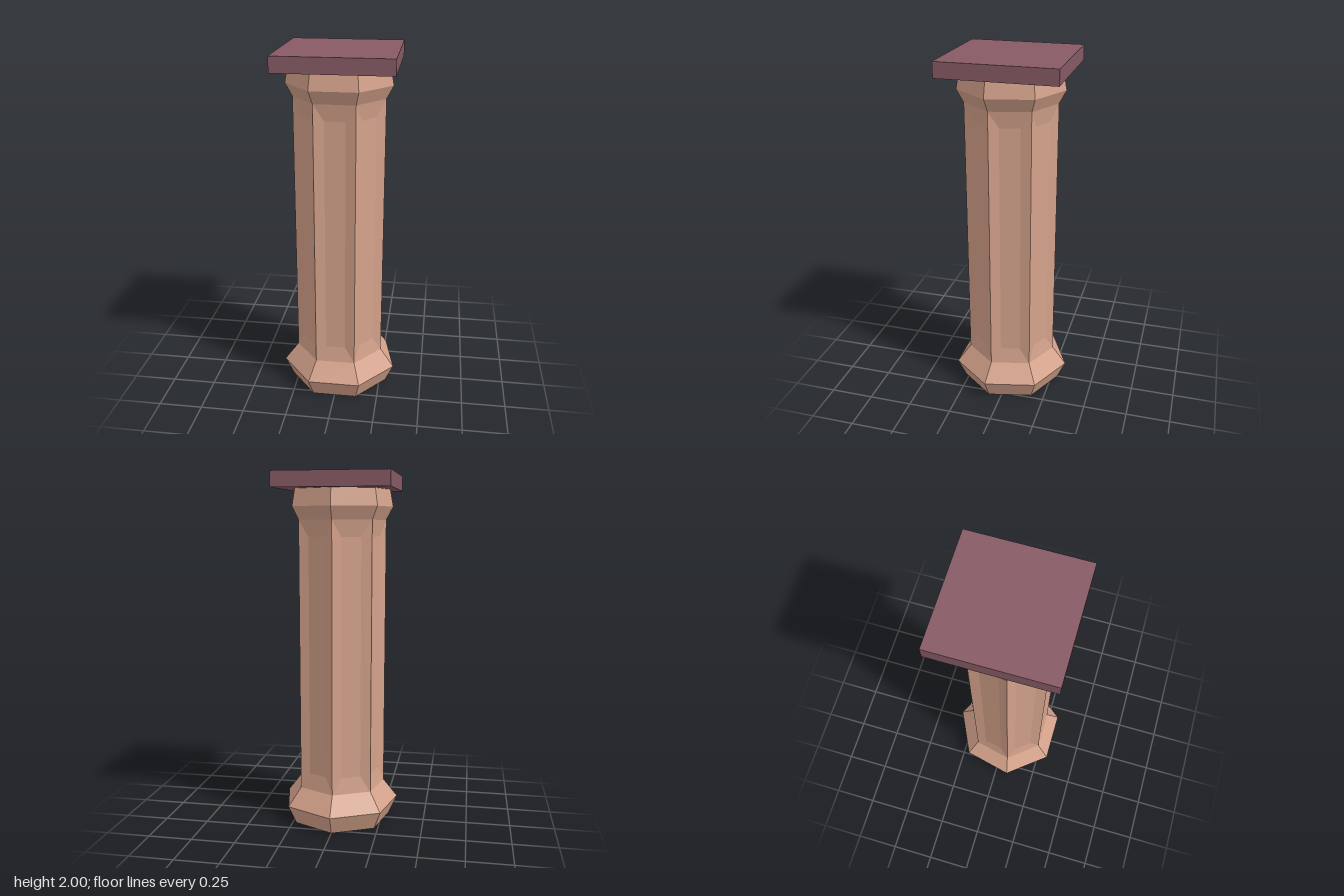
import * as THREE from 'three';

const SIDES = 7;
const CENTRE_Z = 0.0085; // puts the heptagon's point at the back and its flat at the front

const stone = new THREE.MeshStandardMaterial({ color: 0xd4a28b, flatShading: true });
stone.name = 'tan stone';
const slate = new THREE.MeshStandardMaterial({ color: 0x875a64, flatShading: true });
slate.name = 'plum slab';

// Corner k of a heptagon of radius r at height y
function corner(k, r, y) {
  const a = Math.PI + (k / SIDES) * Math.PI * 2;
  return new THREE.Vector3(Math.sin(a) * r, y, Math.cos(a) * r);
}

// One tapered heptagonal band
function band(name, y0, r0, y1, r1, open = true) {
  const geo = new THREE.CylinderGeometry(r1, r0, y1 - y0, SIDES, 1, open, Math.PI);
  const mesh = new THREE.Mesh(geo, stone);
  mesh.name = name;
  mesh.position.set(0, (y0 + y1) / 2, 0);
  return mesh;
}

// Shaft whose seven faces each hold a shallow sunken panel with sloping borders
function shaftGeometry(r, y0, y1, inset, rise, depth) {
  const pos = [];
  const quad = (a, b, c, d) => [a, b, c, a, c, d].forEach((p) => pos.push(p.x, p.y, p.z));
  for (let k = 0; k < SIDES; k++) {
    const outer = [corner(k, r, y0), corner(k + 1, r, y0), corner(k + 1, r, y1), corner(k, r, y1)];
    const inward = corner(k + 0.5, -depth, 0);
    const inner = outer.map((p, i) => {
      const mate = outer[[1, 0, 3, 2][i]];
      const q = p.clone().lerp(mate, inset).add(inward);
      q.y += i < 2 ? rise : -rise;
      return q;
    });
    quad(...inner);
    for (let i = 0; i < 4; i++) {
      const j = (i + 1) % 4;
      quad(outer[i], outer[j], inner[j], inner[i]);
    }
  }
  const geo = new THREE.BufferGeometry();
  geo.setAttribute('position', new THREE.Float32BufferAttribute(pos, 3));
  geo.computeVertexNormals();
  return geo;
}

export function createModel() {
  const model = new THREE.Group();
  model.name = 'column';

  const body = new THREE.Group();
  body.name = 'columnBody';
  body.position.z = CENTRE_Z;
  model.add(body);

  // Base: flares out, then slopes in to the shaft
  body.add(band('baseLower', 0, 0.293, 0.107, 0.3415, false));
  body.add(band('baseUpper', 0.107, 0.3415, 0.212, 0.26));

  // Shaft with sunken panels
  const shaft = new THREE.Mesh(shaftGeometry(0.26, 0.212, 1.747, 0.25, 0.092, 0.015), stone);
  shaft.name = 'shaft';
  body.add(shaft);

  // Capital
  body.add(band('capitalLower', 1.747, 0.26, 1.82, 0.299));
  body.add(band('capitalUpper', 1.82, 0.299, 1.917, 0.281));

  // Square slab on top
  const slab = new THREE.Mesh(new THREE.BoxGeometry(0.636, 0.085, 0.648), slate);
  slab.name = 'topSlab';
  slab.position.set(0, 1.9575, 0.007);
  model.add(slab);

  return model;
}
